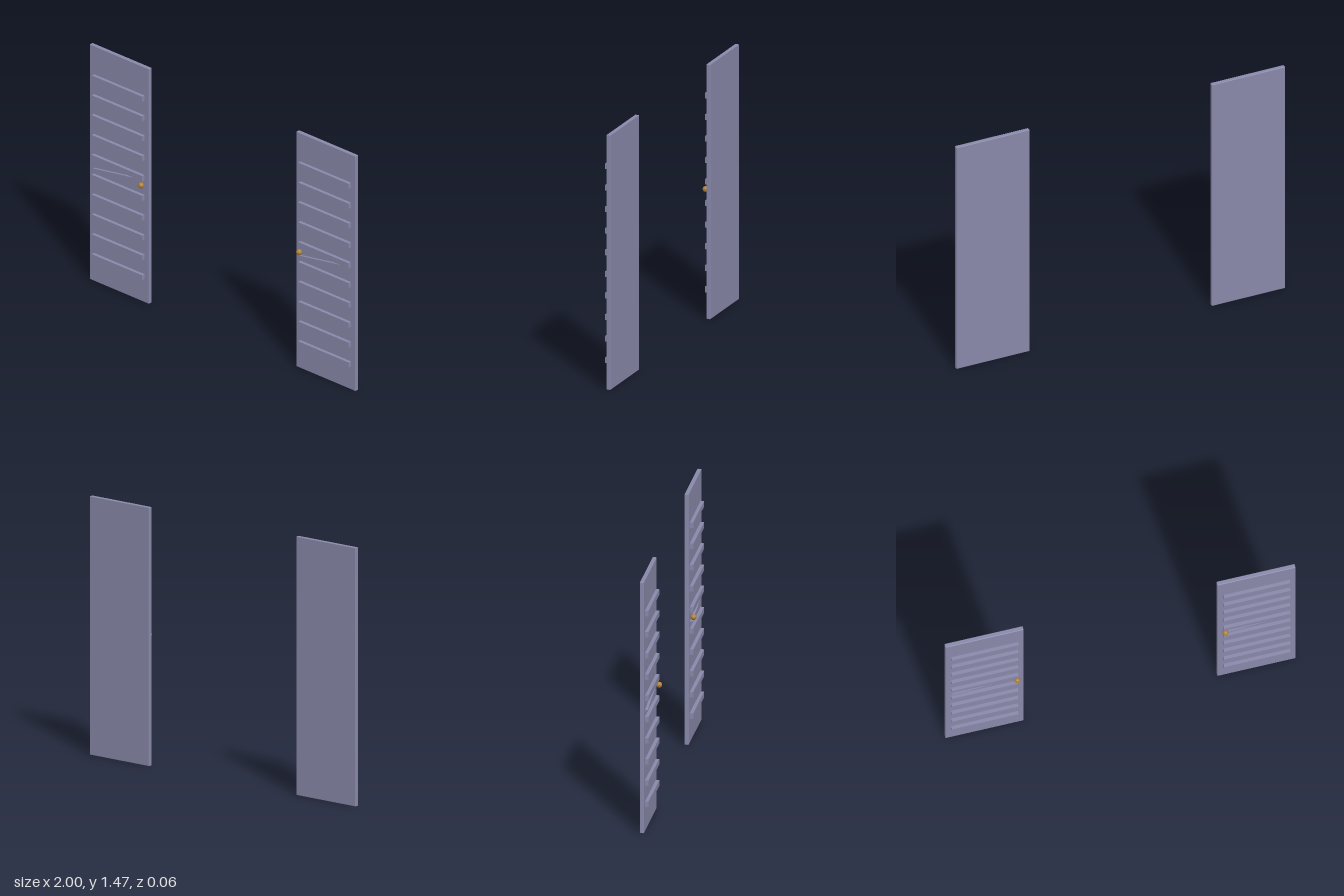
import * as THREE from 'three';
import { RoundedBoxGeometry } from 'three/addons/geometries/RoundedBoxGeometry.js';

const W = 0.447, H = 1.47, BACK = -0.031, FACE = -0.007;

export function createModel() {
  const group = new THREE.Group();
  const paint = new THREE.MeshStandardMaterial({ color: 0x8888aa });
  paint.name = 'greyLilacPaint';
  const brass = new THREE.MeshStandardMaterial({ color: 0xb08030 });
  brass.name = 'brass';

  const add = (parent, name, geometry, material, x, y, z) => {
    const mesh = new THREE.Mesh(geometry, material);
    mesh.name = name;
    mesh.position.set(x, y, z);
    parent.add(mesh);
    return mesh;
  };

  const panel = new RoundedBoxGeometry(W, H, FACE - BACK, 2, 0.004);
  const slat = new THREE.BoxGeometry(0.38, 0.032, 0.02);
  const brace = new THREE.BoxGeometry(0.37, 0.012, 0.016);
  const knob = new THREE.SphereGeometry(0.017, 16, 12);

  for (const side of [-1, 1]) {
    const shutter = new THREE.Group();
    shutter.name = side < 0 ? 'rightShutter' : 'leftShutter';
    shutter.position.x = side * (1 - W / 2);
    group.add(shutter);

    add(shutter, 'panel', panel, paint, 0, H / 2, (BACK + FACE) / 2);

    // Ten evenly spaced louvre slats
    for (let i = 0; i < 10; i++) {
      add(shutter, 'slat', slat, paint, 0, 0.16 + i * 0.1242, FACE + 0.01);
    }

    // Both braces lean the same way
    add(shutter, 'brace', brace, paint, 0, 0.735, 0).rotation.z = 0.161;

    // Knob on the inner edge
    add(shutter, 'knob', knob, brass, -side * 0.182, 0.737, 0.013);
  }
  return group;
}
